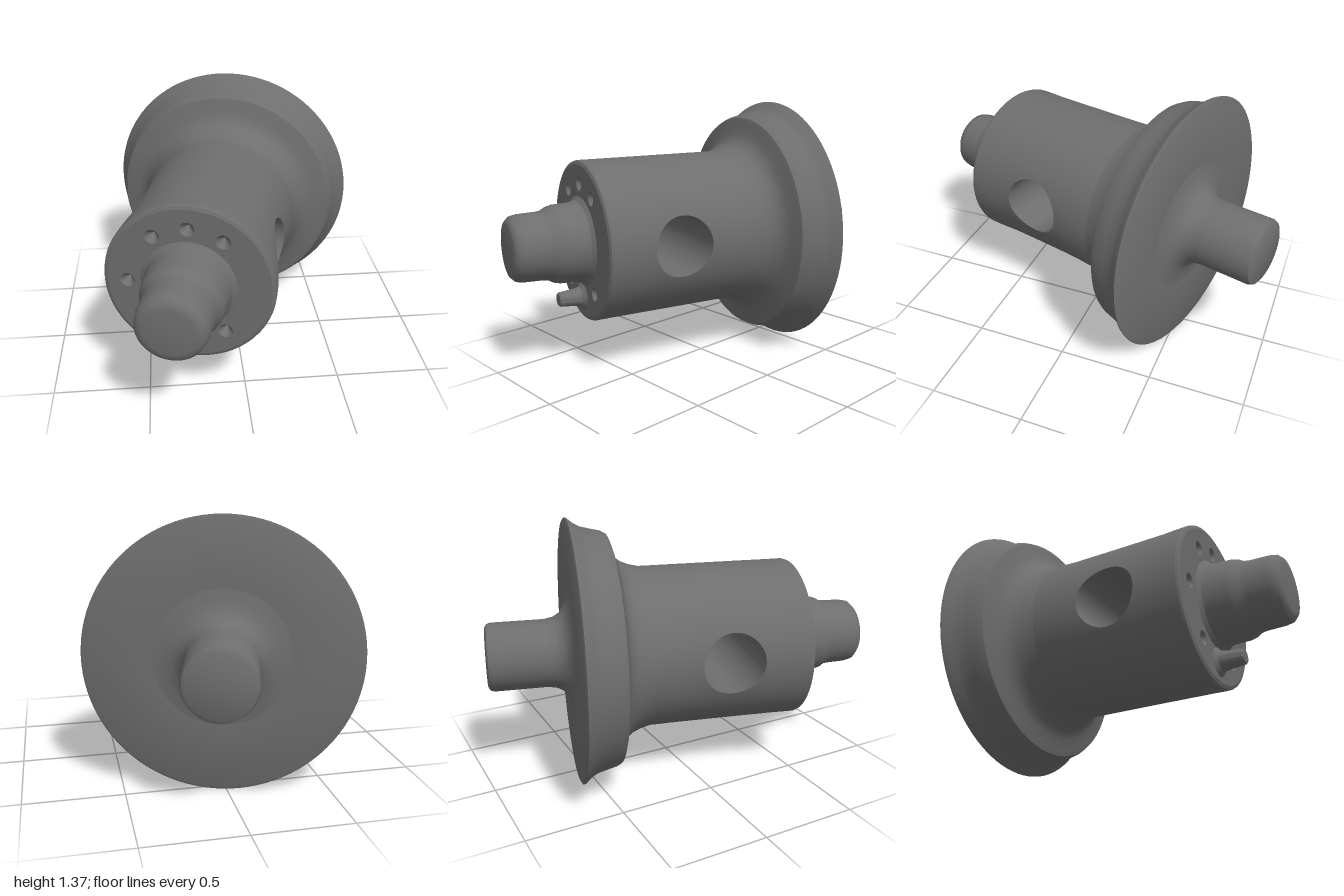
import * as THREE from 'three';
import { toCreasedNormals } from 'three/addons/utils/BufferGeometryUtils.js';

const R = 0.42;          // body radius
const HOLE = 0.16;       // cross hole radius
const HOLE_Z = 0.205;    // cross hole position along the axis
const HALF = 0.395;      // half length of the pierced wall
const DENT = 0.028;      // how far the wall sinks around the hole

const material = new THREE.MeshStandardMaterial({ color: 0x6e6e6e });
const openMaterial = new THREE.MeshStandardMaterial({ color: 0x6e6e6e, side: THREE.DoubleSide });

// Turned part about the z axis; profile is [radius, z] from back to front
function turned(name, profile) {
  const pts = profile.map(([r, z]) => new THREE.Vector2(r, z));
  const geo = new THREE.LatheGeometry(pts, 96).rotateX(Math.PI / 2);
  const mesh = new THREE.Mesh(toCreasedNormals(geo, 0.6), material);
  mesh.name = name;
  return mesh;
}

// Half of the body wall: a grid running from the hole rim out to a square border
function wallHalf(name) {
  const rays = 192, rings = 14, pos = [], nor = [], idx = [];
  const border = (v) => THREE.MathUtils.clamp(Math.asin(v) * 4 / Math.PI, -1, 1);
  for (let i = 0; i <= rays; i++) {
    const a = (i / rays) * Math.PI * 2, c = Math.cos(a), s = Math.sin(a);
    for (let j = 0; j <= rings; j++) {
      const t = j / rings;
      const th = THREE.MathUtils.lerp(Math.asin(HOLE * s / R), Math.PI / 2 * border(s), t);
      const z = HOLE_Z + THREE.MathUtils.lerp(HOLE * c, HALF * border(c), t);
      pos.push(R * Math.cos(th) - DENT * (1 - t) ** 2, R * Math.sin(th), z);
      nor.push(Math.cos(th), Math.sin(th), 0);
      if (i < rays && j < rings) {
        const k = i * (rings + 1) + j, n = k + rings + 1;
        idx.push(k, n, k + 1, n, n + 1, k + 1);
      }
    }
  }
  const geo = new THREE.BufferGeometry();
  geo.setAttribute('position', new THREE.Float32BufferAttribute(pos, 3));
  geo.setAttribute('normal', new THREE.Float32BufferAttribute(nor, 3));
  geo.setIndex(idx);
  const mesh = new THREE.Mesh(geo, openMaterial);
  mesh.name = name;
  return mesh;
}

// Cross hole lining, its ends trimmed to the body's curve
function crossHole() {
  const geo = new THREE.CylinderGeometry(HOLE, HOLE, 2, 192, 1, true).rotateZ(Math.PI / 2);
  const p = geo.attributes.position;
  for (let i = 0; i < p.count; i++) {
    p.setX(i, Math.sign(p.getX(i)) * (Math.sqrt(R * R - p.getY(i) ** 2) - DENT));
  }
  geo.translate(0, 0, HOLE_Z);
  const mesh = new THREE.Mesh(geo, openMaterial);
  mesh.name = 'crossHole';
  return mesh;
}

// Flat front ring with conical dimples at the given angles in degrees
function frontFace(angles) {
  const group = new THREE.Group();
  group.name = 'frontFace';
  const pitch = 0.3, r = 0.036, depth = 0.05;
  const shape = new THREE.Shape().absarc(0, 0, 0.4, 0, Math.PI * 2);
  shape.holes.push(new THREE.Path().absarc(0, 0, 0.235, 0, Math.PI * 2, true));
  for (const deg of angles) {
    const a = THREE.MathUtils.degToRad(deg);
    const x = pitch * Math.cos(a), y = pitch * Math.sin(a);
    shape.holes.push(new THREE.Path().absarc(x, y, r, 0, Math.PI * 2, true));
    const cone = new THREE.ConeGeometry(r, depth, 24, 1, true).rotateX(-Math.PI / 2);
    const dimple = new THREE.Mesh(cone, openMaterial);
    dimple.position.set(x, y, -depth / 2);
    dimple.name = 'dimple';
    group.add(dimple);
  }
  const face = new THREE.Mesh(new THREE.ShapeGeometry(shape, 48), material);
  face.name = 'face';
  group.add(face);
  group.position.z = 0.618;
  return group;
}

export function createModel() {
  const model = new THREE.Group();
  const shaft = new THREE.Group();
  shaft.name = 'shaft';
  shaft.position.set(-0.122, 0.687, 0);
  shaft.rotation.y = THREE.MathUtils.degToRad(-15);
  model.add(shaft);

  // Back spindle with a root flaring into the flange
  shaft.add(turned('backSpindle', [
    [0, -0.99], [0.15, -0.99], [0.168, -0.98], [0.175, -0.96], [0.175, -0.69],
    [0.184, -0.645], [0.203, -0.612], [0.24, -0.588], [0.29, -0.572], [0.34, -0.565]]));

  // Flange with a hollow tapered rim, blending into the body
  shaft.add(turned('flange', [
    [0.34, -0.565], [0.672, -0.565], [0.684, -0.558], [0.68, -0.548], [0.655, -0.52], [0.637, -0.487],
    [0.625, -0.44], [0.612, -0.385], [0.6, -0.362], [0.57, -0.352],
    [0.515, -0.34], [0.475, -0.318], [0.45, -0.285], [0.432, -0.24], [R, -0.19]]));

  // Body wall in two pierced halves, and the hole through it
  const left = wallHalf('bodyLeft');
  const right = wallHalf('bodyRight');
  right.rotation.z = Math.PI;
  right.scale.z = 1;
  shaft.add(left, right, crossHole());
  shaft.add(turned('bodyRim', [[R, 0.6], [0.416, 0.611], [0.4, 0.618]]));

  // Front face; the gap at the bottom holds the pin
  shaft.add(frontFace([90, 56, 124, 180, 234, 306]));

  // Stepped front spindle
  shaft.add(turned('frontSpindle', [
    [0.235, 0.618], [0.215, 0.635], [0.206, 0.67], [0.203, 0.755], [0.195, 0.785],
    [0.18, 0.81], [0.175, 0.84], [0.172, 0.94], [0.165, 0.975], [0.145, 0.995], [0.12, 1.0], [0, 1.0]]));

  // Locating pin below the front spindle
  const pin = turned('locatingPin', [
    [0.075, 0.617], [0.052, 0.635], [0.045, 0.67], [0.038, 0.745], [0.032, 0.752], [0, 0.752]]);
  pin.position.y = -0.3;
  shaft.add(pin);

  return model;
}
